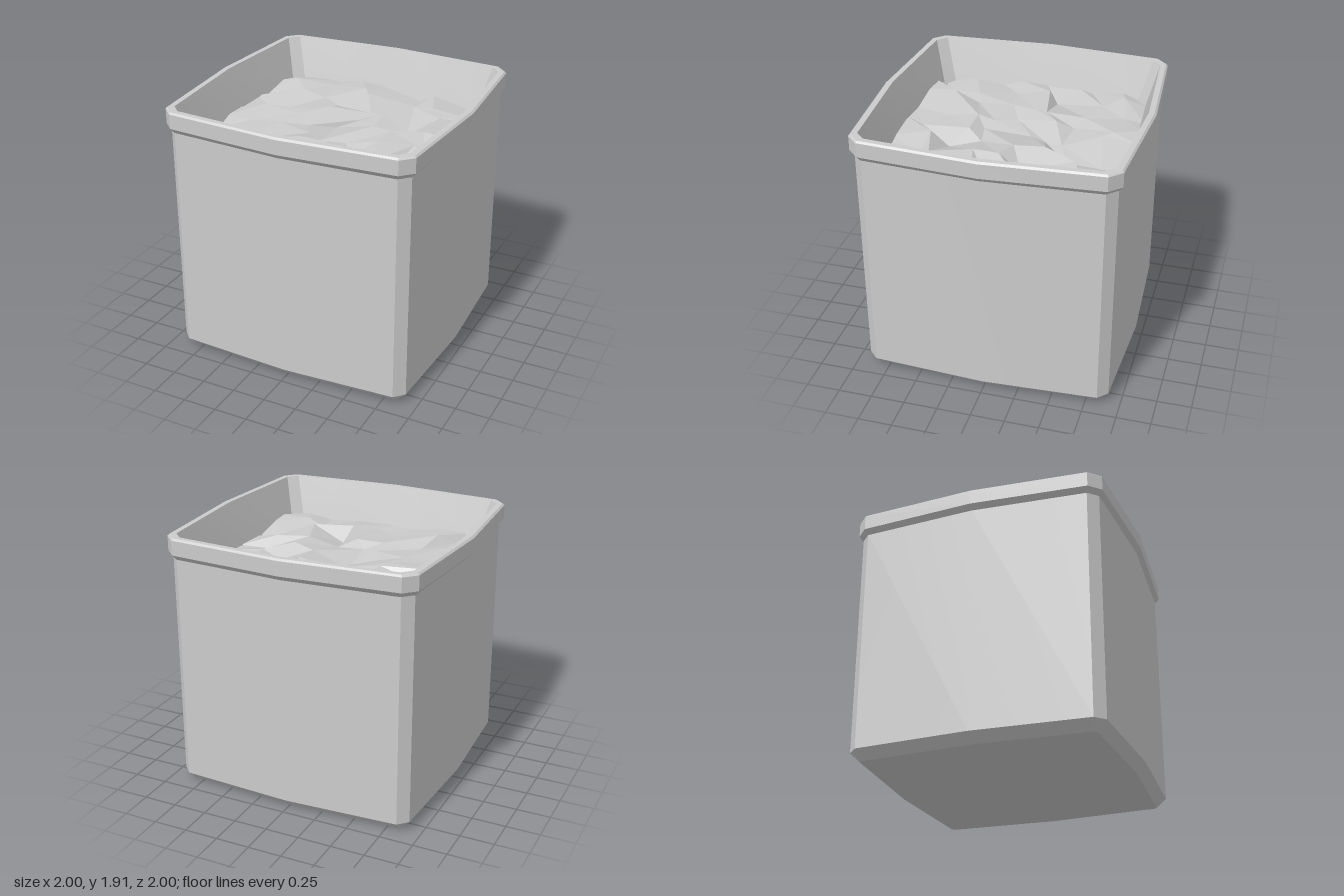
import * as THREE from 'three';
import { toCreasedNormals } from 'three/addons/utils/BufferGeometryUtils.js';

const grey = () => new THREE.MeshStandardMaterial({ color: 0xcccccc });

// Square outline with bevelled corners and bulging sides:
// mid = reach at mid-side, side = reach at the corners, c = where the bevel starts
function ring([y, mid, side, c]) {
  const pts = [];
  for (let k = 0; k < 4; k++) {
    const a = k * Math.PI / 2, cos = Math.cos(a), sin = Math.sin(a);
    for (const [x, z] of [[side, -c], [mid, 0], [side, c]]) {
      pts.push([x * cos - z * sin, y, x * sin + z * cos]);
    }
  }
  return pts;
}

// Skin a stack of outlines, optionally closing the first one
function loft(levels, capStart) {
  const rings = levels.map(ring), n = 12, pos = [];
  const tri = (a, b, c) => pos.push(...a, ...b, ...c);
  for (let i = 0; i < rings.length - 1; i++) {
    for (let j = 0; j < n; j++) {
      const k = (j + 1) % n;
      const a = rings[i][j], b = rings[i][k], c = rings[i + 1][k], d = rings[i + 1][j];
      tri(a, d, c);
      tri(a, c, b);
    }
  }
  if (capStart) {
    const centre = [0, levels[0][0], 0];
    for (let j = 0; j < n; j++) tri(centre, rings[0][j], rings[0][(j + 1) % n]);
  }
  const geo = new THREE.BufferGeometry();
  geo.setAttribute('position', new THREE.Float32BufferAttribute(pos, 3));
  return toCreasedNormals(geo, 0.3);
}

// Lumpy ground: a grid with jittered points, tucked into the wall at its border
function soilGeometry() {
  let seed = 11;
  const rnd = () => {
    seed = (seed * 16807) % 2147483647;
    return seed / 2147483647 - 0.5;
  };
  const n = 8;
  const geo = new THREE.PlaneGeometry(2, 2, n, n).rotateX(-Math.PI / 2);
  const p = geo.attributes.position;
  for (let i = 0; i < p.count; i++) {
    let u = p.getX(i), v = p.getZ(i);
    const edgeU = Math.abs(u) > 0.99, edgeV = Math.abs(v) > 0.99;
    const ju = rnd() * 0.2, jv = rnd() * 0.2, h = rnd() * 0.11;
    if (!edgeU) u += ju;
    if (!edgeV) v += jv;
    p.setXYZ(i,
      u * (0.83 + 0.04 * (1 - v * v)),
      1.61 + h,
      v * (0.83 + 0.04 * (1 - u * u)));
  }
  const flat = geo.toNonIndexed();
  flat.computeVertexNormals();
  return flat;
}

export function createModel() {
  const group = new THREE.Group();
  const add = (name, geo) => {
    const mesh = new THREE.Mesh(geo, grey());
    mesh.name = name;
    group.add(mesh);
    return mesh;
  };

  // Pot body with bevelled foot
  add('body', loft([
    [0, 0.885, 0.84, 0.82],
    [0.07, 0.955, 0.91, 0.84],
    [1.76, 0.965, 0.91, 0.84],
  ], true));

  // Overhanging rim, rolling over into the inner wall
  add('rim', loft([
    [1.75, 0.962, 0.908, 0.838],
    [1.79, 1.0, 0.94, 0.855],
    [1.897, 1.0, 0.94, 0.855],
    [1.91, 0.985, 0.928, 0.848],
    [1.91, 0.945, 0.888, 0.82],
    [1.61, 0.855, 0.81, 0.74],
    [1.45, 0.81, 0.77, 0.7],
  ]));

  // Faceted soil
  add('soil', soilGeometry()).material.flatShading = true;

  return group;
}
